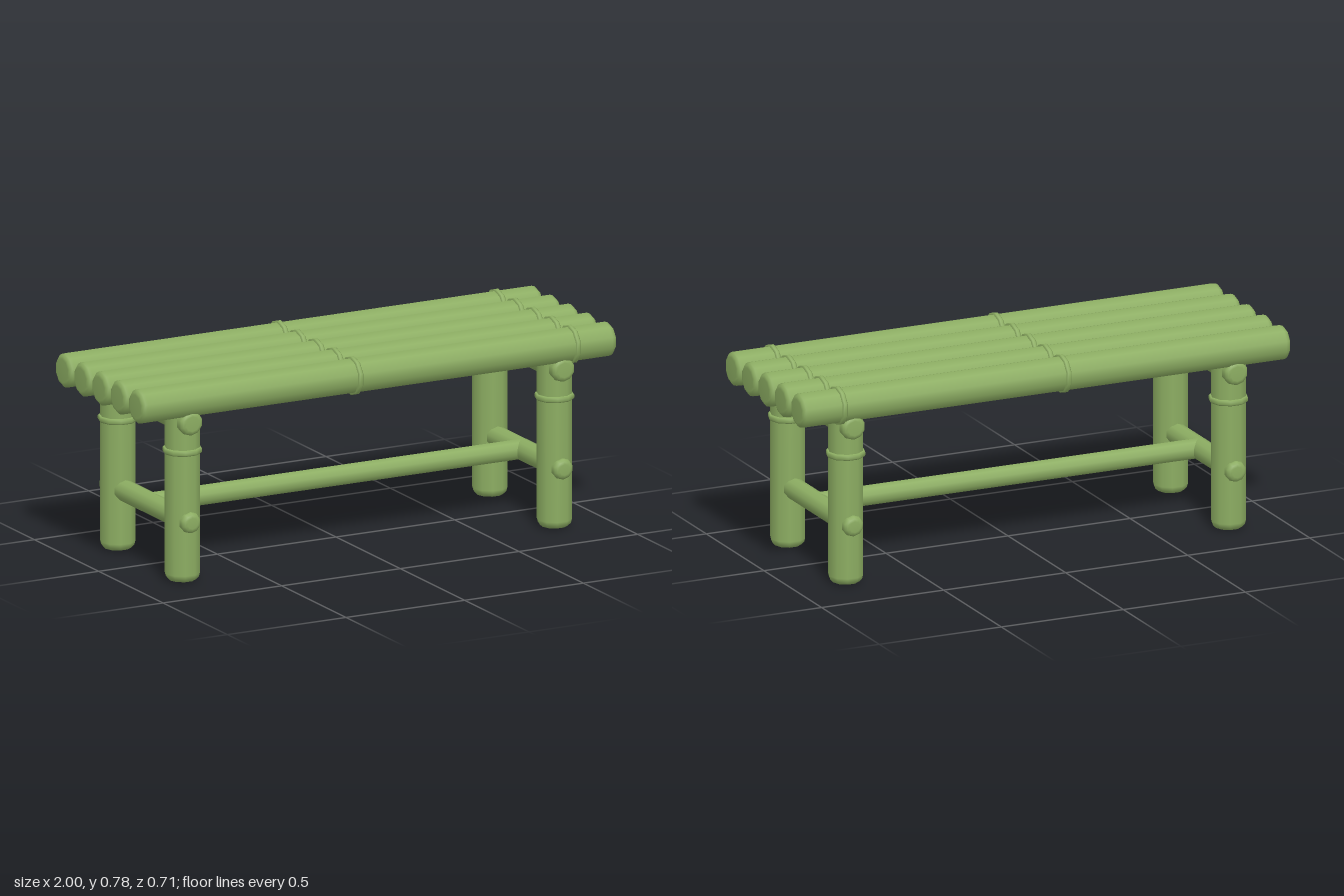
import * as THREE from 'three';

const SIDES = 10;

// Closed ten-sided pole centred on the origin, with rounded ends; runs along the given axis
function pole(radius, length, bevel, axis) {
  const h = length / 2, pts = [new THREE.Vector2(0, -h)];
  for (const end of [-1, 1]) {
    for (let i = 0; i <= 3; i++) {
      const a = (end < 0 ? i : 3 - i) * Math.PI / 6;
      pts.push(new THREE.Vector2(
        radius - bevel + bevel * Math.sin(a),
        end * (h - bevel + bevel * Math.cos(a))));
    }
  }
  pts.push(new THREE.Vector2(0, h));
  return orient(new THREE.LatheGeometry(pts, SIDES, axis === 'z' ? 0 : Math.PI / 2), axis);
}

// Rounded band that wraps a pole of the given radius
function band(inner, outer, width, axis) {
  const w = width / 2;
  const profile = [[inner - 0.01, -w], [outer - 0.004, -w], [outer, -w * 0.5],
    [outer, w * 0.5], [outer - 0.004, w], [inner - 0.01, w]];
  const pts = profile.map(([r, y]) => new THREE.Vector2(r, y));
  return orient(new THREE.LatheGeometry(pts, SIDES, Math.PI / 2), axis);
}

function orient(geometry, axis) {
  if (axis === 'x') geometry.rotateZ(-Math.PI / 2);
  if (axis === 'z') geometry.rotateX(Math.PI / 2);
  return geometry;
}

export function createModel() {
  const bench = new THREE.Group();
  bench.name = 'bambooBench';
  const bamboo = new THREE.MeshStandardMaterial({ color: 0x8cad62 });

  const add = (name, geometry, x, y, z) => {
    const mesh = new THREE.Mesh(geometry, bamboo);
    mesh.name = name;
    mesh.position.set(x, y, z);
    bench.add(mesh);
  };

  // Seat: five long poles, each with two node bands
  const slat = pole(0.067, 2, 0.022, 'x');
  const slatBand = band(0.067, 0.0745, 0.02, 'x');
  for (let i = -2; i <= 2; i++) {
    const z = i * 0.142;
    add('seatPole', slat, 0, 0.701, z);
    for (const x of [-0.085, 0.832]) add('seatBand', slatBand, x, 0.701, z);
  }

  // Legs with one band each, joined front to back by two cross poles per side
  const leg = pole(0.066, 0.665, 0.03, 'y');
  const legBand = band(0.066, 0.0745, 0.022, 'y');
  const upperCross = pole(0.0485, 0.666, 0.02, 'z');
  const lowerCross = pole(0.041, 0.666, 0.02, 'z');
  for (const x of [-0.784, 0.784]) {
    for (const z of [-0.251, 0.251]) {
      add('leg', leg, x, 0.3325, z);
      add('legBand', legBand, x, 0.502, z);
    }
    add('upperCrossPole', upperCross, x, 0.618, 0);
    add('lowerCrossPole', lowerCross, x, 0.235, 0);
  }

  // Long stretcher between the lower cross poles
  add('stretcher', pole(0.039, 1.58, 0.01, 'x'), 0, 0.236, 0);

  return bench;
}
